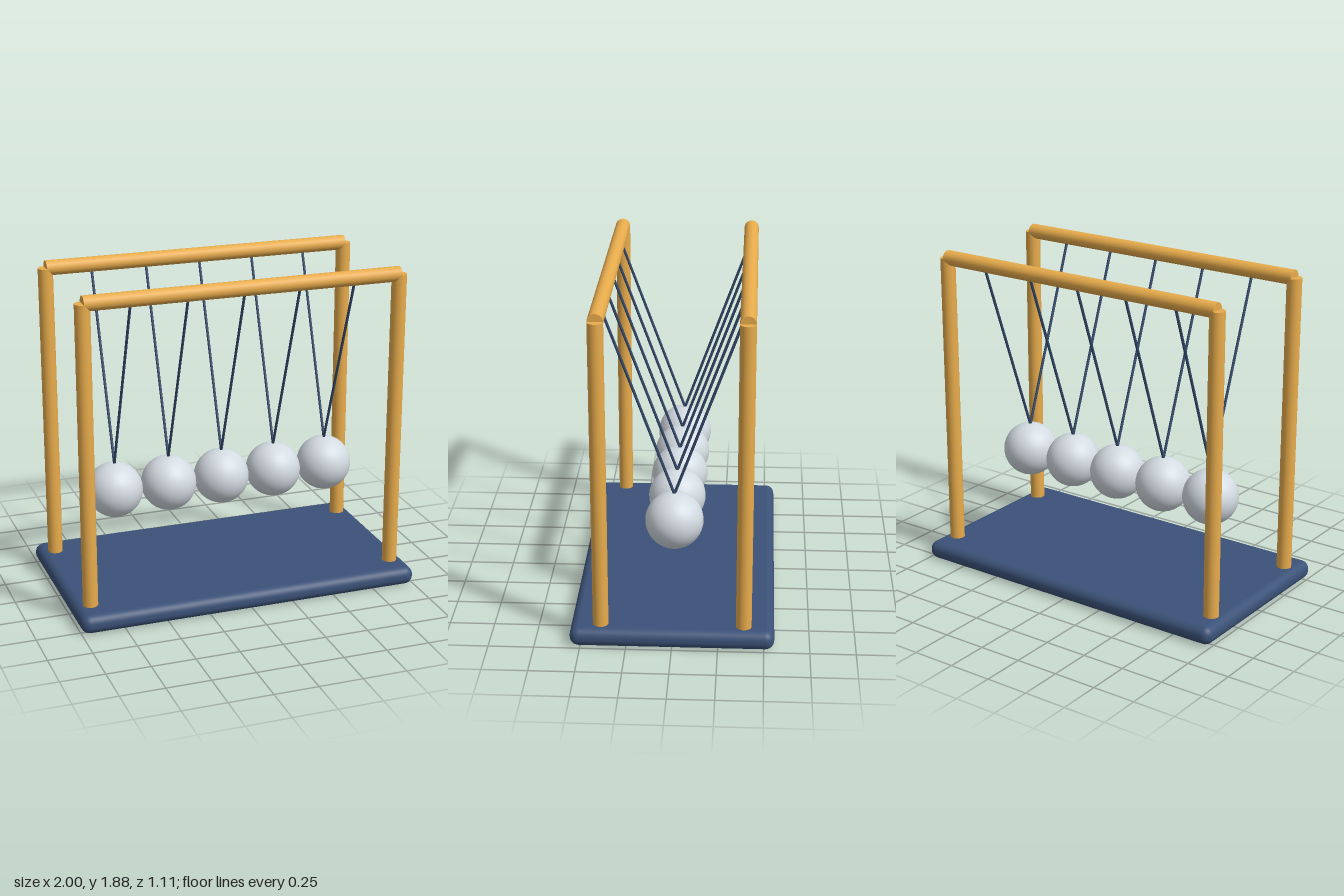
import * as THREE from 'three';
import { RoundedBoxGeometry } from 'three/addons/geometries/RoundedBoxGeometry.js';

const material = (color) => new THREE.MeshStandardMaterial({ color });
const navy = material(0x3b5278);
const wood = material(0xe8ac4c);
const steel = material(0xd3dbe2);
const cord = material(0x34496b);

// Cylinder running between two points
function rod(name, from, to, radius, sides, mat) {
  const a = new THREE.Vector3(...from);
  const b = new THREE.Vector3(...to);
  const dir = b.clone().sub(a);
  const mesh = new THREE.Mesh(new THREE.CylinderGeometry(radius, radius, dir.length(), sides), mat);
  mesh.position.copy(a).add(b).multiplyScalar(0.5);
  mesh.quaternion.setFromUnitVectors(new THREE.Vector3(0, 1, 0), dir.normalize());
  mesh.name = name;
  return mesh;
}

export function createModel() {
  const model = new THREE.Group();
  model.name = 'swingingBalls';

  const baseHeight = 0.108, postX = 0.91, railZ = 0.39, railY = 1.84, barRadius = 0.043;
  const ballRadius = 0.16, ballY = 0.615, spacing = 0.322;

  // Rounded base plate
  const base = new THREE.Mesh(new RoundedBoxGeometry(2, baseHeight, 1.114, 4, 0.05), navy);
  base.position.y = baseHeight / 2;
  base.name = 'base';
  model.add(base);

  // Two frames: a pair of posts carrying a rail
  for (const side of [1, -1]) {
    const z = side * railZ;
    const frame = new THREE.Group();
    frame.name = side > 0 ? 'frontFrame' : 'backFrame';
    for (const x of [postX, -postX]) {
      frame.add(rod(x > 0 ? 'leftPost' : 'rightPost', [x, 0.08, z], [x, railY, z], barRadius, 20, wood));
    }
    frame.add(rod('rail', [-postX, railY, z], [postX, railY, z], barRadius, 20, wood));
    model.add(frame);
  }

  // Five balls, each hung on a V of two strings
  for (let i = -2; i <= 2; i++) {
    const x = i * spacing;
    const pendulum = new THREE.Group();
    pendulum.name = `pendulum${i + 3}`;
    const ball = new THREE.Mesh(new THREE.SphereGeometry(ballRadius, 32, 20), steel);
    ball.position.set(x, ballY, 0);
    ball.name = 'ball';
    pendulum.add(ball);
    for (const side of [1, -1]) {
      pendulum.add(rod(side > 0 ? 'frontString' : 'backString',
        [x, ballY + ballRadius - 0.005, 0], [x, railY, side * railZ], 0.008, 8, cord));
    }
    model.add(pendulum);
  }
  return model;
}
